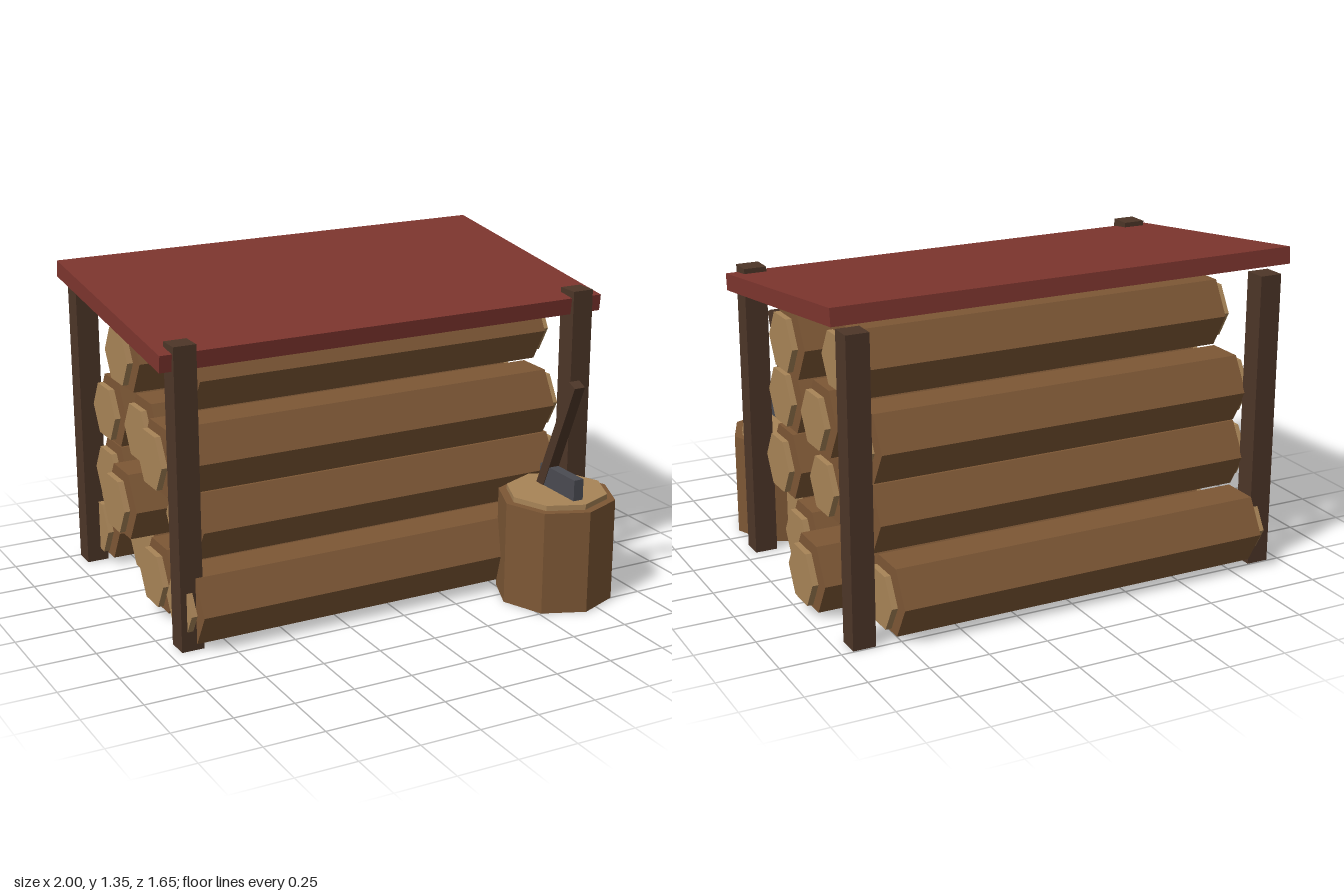
import * as THREE from 'three';

const mat = (color) => new THREE.MeshStandardMaterial({ color, flatShading: true });

export function createModel() {
  const model = new THREE.Group();
  const bark = mat(0x7d5735), cutWood = mat(0xa88457), postWood = mat(0x4d3628);
  const roofRed = mat(0x7d352e), steel = mat(0x4a4b52);

  const add = (parent, name, geometry, material, x, y, z) => {
    const mesh = new THREE.Mesh(geometry, material);
    mesh.name = name;
    mesh.position.set(x, y, z);
    parent.add(mesh);
    return mesh;
  };

  // Four corner posts
  for (const x of [-0.902, 0.902]) {
    for (const z of [0.357, -0.697]) {
      add(model, 'post', new THREE.BoxGeometry(0.095, 1.25, 0.095), postWood, x, 0.625, z);
    }
  }

  // Sloping roof, lower at the front
  add(model, 'roof', new THREE.BoxGeometry(2, 0.07, 1.125), roofRed, 0, 1.252, -0.17).rotation.x = 0.12;

  // Six-sided log along x, with a pale disc just off each end
  const hexPrism = (radius, length) =>
    new THREE.CylinderGeometry(radius, radius, length, 6).rotateZ(Math.PI / 2).rotateX(Math.PI / 2);
  const addLog = (y, z, x0, x1) => {
    const log = new THREE.Group();
    log.name = 'log';
    log.position.set((x0 + x1) / 2, y, z);
    const length = x1 - x0;
    const orient = (g) => {
      // keep two corners pointing along z
      g.computeBoundingBox();
      const b = g.boundingBox;
      return b.max.z > b.max.y ? g : g.rotateX(Math.PI / 2);
    };
    add(log, 'logBark', orient(hexPrism(0.162, length)), bark, 0, 0, 0);
    for (const side of [-1, 1]) {
      add(log, 'logEnd', orient(hexPrism(0.127, 0.025)), cutWood, side * (length / 2 + 0.027), 0, 0);
    }
    model.add(log);
  };

  // Stacked rows: height, then [z, left end, right end] of each log
  const rows = [
    [0.165, [[0.325, -0.885, 0.74], [0, -0.87, 0.84], [-0.335, -0.78, 0.957], [-0.67, -0.85, 0.77]]],
    [0.45, [[0.163, -0.81, 0.85], [-0.168, -0.96, 0.79], [-0.502, -0.86, 0.79]]],
    [0.735, [[0.163, -0.925, 0.83], [-0.168, -0.85, 0.82], [-0.502, -0.86, 0.78]]],
    [1.02, [[0, -0.74, 0.88], [-0.335, -0.86, 0.79]]],
  ];
  for (const [y, logs] of rows) {
    for (const [z, x0, x1] of logs) addLog(y, z, x0, x1);
  }

  // Chopping block with a pale cut top
  const bx = 0.685, bz = 0.575;
  add(model, 'choppingBlock', new THREE.CylinderGeometry(0.247, 0.247, 0.44, 8), bark, bx, 0.22, bz);
  add(model, 'choppingBlockTop', new THREE.CylinderGeometry(0.212, 0.212, 0.025, 8), cutWood, bx, 0.45, bz);

  // Axe resting in the block
  const axe = new THREE.Group();
  axe.name = 'axe';
  add(axe, 'axeHead', new THREE.BoxGeometry(0.045, 0.09, 0.25), steel, bx, 0.507, 0.607);
  add(axe, 'axeHandle', new THREE.BoxGeometry(0.05, 0.56, 0.047), postWood, bx, 0.69, 0.582).rotation.x = 0.4;
  model.add(axe);

  return model;
}
